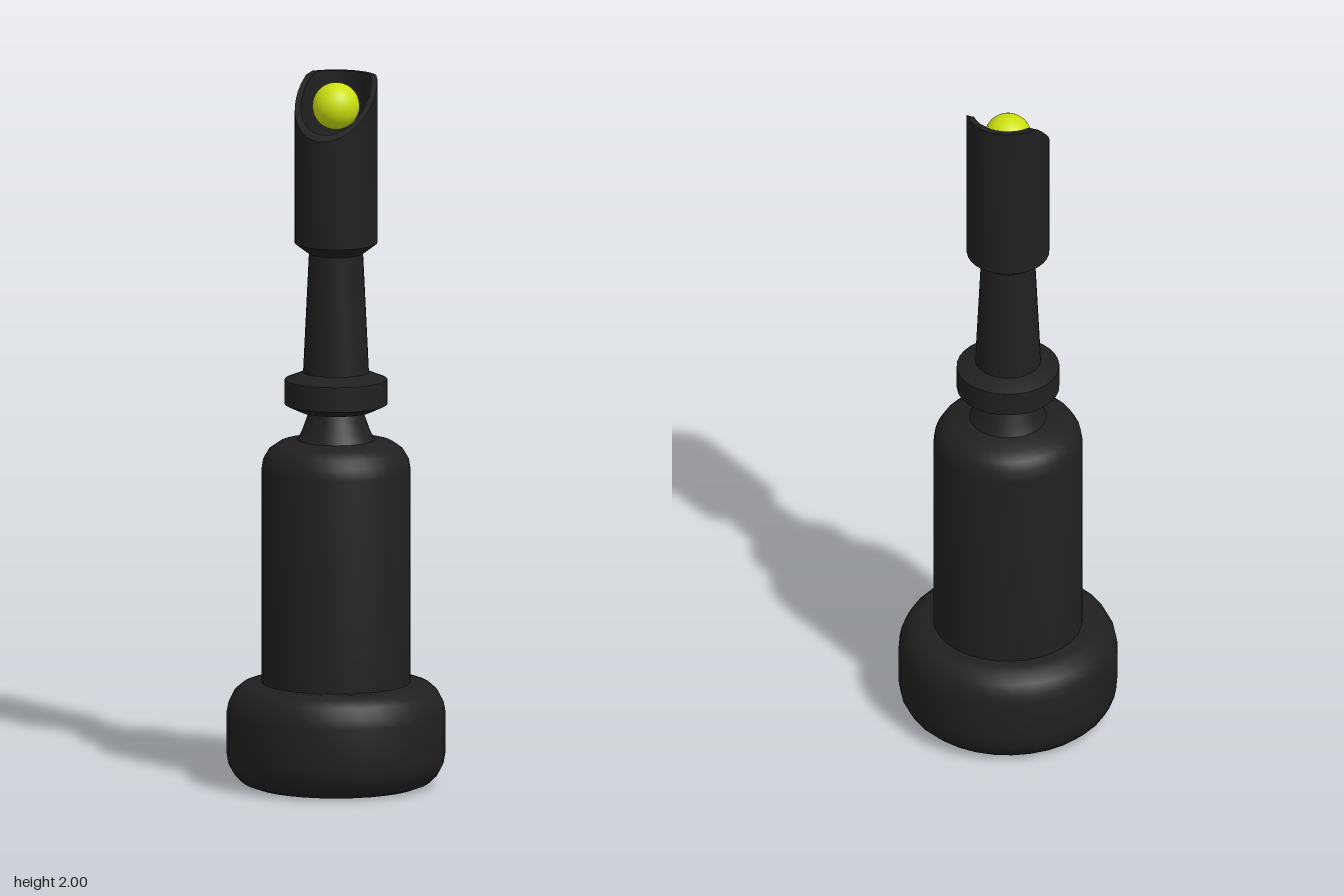
import * as THREE from 'three';
import { toCreasedNormals } from 'three/addons/utils/BufferGeometryUtils.js';

const SEGMENTS = 32;

function lathe(profile) {
  const points = profile.map(([r, y]) => new THREE.Vector2(r, y));
  return new THREE.LatheGeometry(points, SEGMENTS);
}

function addPart(group, name, geometry, material) {
  const mesh = new THREE.Mesh(geometry, material);
  mesh.name = name;
  group.add(mesh);
  return mesh;
}

export function createModel() {
  const group = new THREE.Group();
  group.name = 'handle';
  const dark = new THREE.MeshStandardMaterial({ color: 0x202020 });
  const yellow = new THREE.MeshStandardMaterial({ color: 0xcce010 });
  const crease = (geometry) => toCreasedNormals(geometry, 0.7);

  // Wide foot with rounded edges
  addPart(group, 'base', crease(lathe([
    [0, 0], [0.235, 0], [0.262, 0.01], [0.285, 0.032], [0.3, 0.06], [0.305, 0.09],
    [0.305, 0.205], [0.3, 0.232], [0.285, 0.262], [0.262, 0.282], [0.235, 0.29], [0, 0.29],
  ])), dark);

  // Main grip with a rounded shoulder and the cone above it
  addPart(group, 'grip', crease(lathe([
    [0.208, 0.28], [0.208, 0.89], [0.203, 0.92], [0.188, 0.945], [0.16, 0.965],
    [0.108, 0.975], [0.095, 1.0], [0.07, 1.07],
  ])), dark);

  // Collar ring
  addPart(group, 'collar', crease(lathe([
    [0, 1.055], [0.1, 1.055], [0.143, 1.075], [0.143, 1.145], [0.092, 1.165], [0, 1.165],
  ])), dark);

  // Tapered neck
  addPart(group, 'neck', crease(lathe([[0.092, 1.16], [0.075, 1.51]])), dark);

  // Hollow head: the rim is cut at a slant that drops towards the front
  const head = lathe([
    [0, 1.5], [0.075, 1.5], [0.115, 1.53], [0.115, 2],
    [0.098, 2], [0.098, 1.79], [0, 1.79],
  ]);
  const pos = head.attributes.position;
  for (let i = 0; i < pos.count; i++) {
    if (pos.getY(i) > 1.99) pos.setY(i, Math.min(2, 1.948 - pos.getZ(i)));
  }
  addPart(group, 'head', crease(head), dark);

  // Ball set in the head
  addPart(group, 'ball', new THREE.SphereGeometry(0.066, 32, 20), yellow).position.y = 1.917;

  return group;
}
